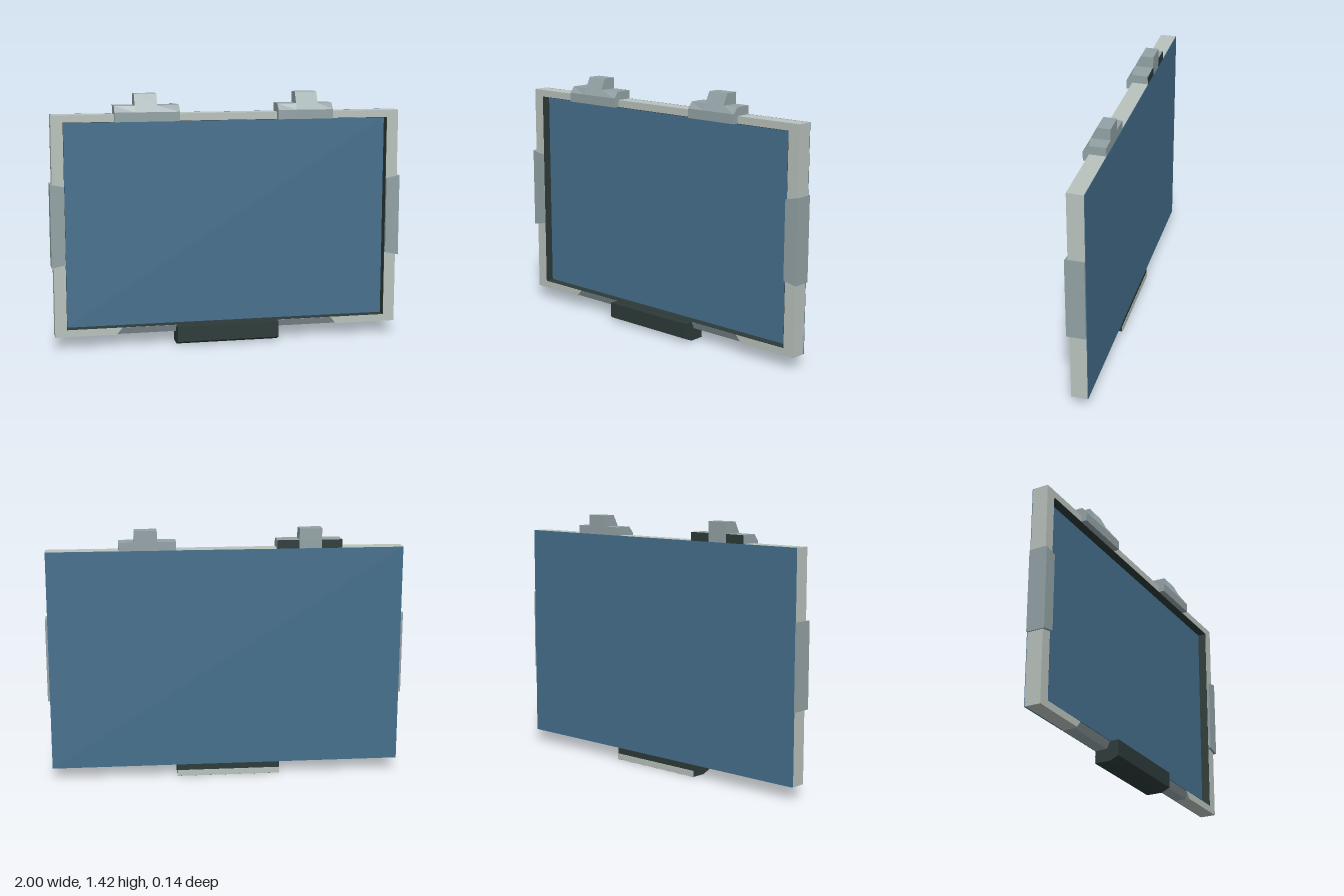
import * as THREE from 'three';

const mat = (name, color) => {
  const m = new THREE.MeshStandardMaterial({ color });
  m.name = name;
  return m;
};

// Solid through cross-sections along +x: [x, [[z, y], ...]], convex,
// listed front-bottom, back-bottom, back-top, front-top.
function loft(sections) {
  const pos = [];
  const rings = sections.map(([x, p]) => p.map(([z, y]) => [x, y, z]));
  const tri = (...pts) => pts.forEach((p) => pos.push(...p));
  const n = rings[0].length;
  for (let s = 0; s + 1 < rings.length; s++) {
    for (let i = 0; i < n; i++) {
      const j = (i + 1) % n;
      tri(rings[s][i], rings[s][j], rings[s + 1][j]);
      tri(rings[s][i], rings[s + 1][j], rings[s + 1][i]);
    }
  }
  const a = rings[0], b = rings[rings.length - 1];
  for (let i = 1; i + 1 < n; i++) {
    tri(a[0], a[i + 1], a[i]);
    tri(b[0], b[i], b[i + 1]);
  }
  const g = new THREE.BufferGeometry();
  g.setAttribute('position', new THREE.Float32BufferAttribute(pos, 3));
  g.computeVertexNormals();
  return g;
}

const prism = (x0, x1, profile) => loft([[x0, profile], [x1, profile]]);

function box(x0, x1, y0, y1, z0, z1) {
  return new THREE.BoxGeometry(x1 - x0, y1 - y0, z1 - z0)
    .translate((x0 + x1) / 2, (y0 + y1) / 2, (z0 + z1) / 2);
}

const polygon = (pts) => pts.map(([x, y]) => new THREE.Vector2(x, y));

export function createModel() {
  const model = new THREE.Group();
  model.name = 'wallScreen';
  const frameMat = mat('pale grey', 0xb9c2bd);
  const clipMat = mat('blue grey', 0x93a2a5);
  const darkMat = mat('dark green grey', 0x2c3a39);
  const blueMat = mat('screen blue', 0x456f8c);

  const add = (name, geometry, material, parent = model) => {
    const m = new THREE.Mesh(geometry, material);
    m.name = name;
    parent.add(m);
    return m;
  };

  const W = 0.988, B = 0.07, T = 1.308;      // frame outline
  const w = 0.922, b = 0.11, t = 1.268;      // opening
  const back = -0.07, front = 0.02;

  // Frame: closed ring behind, with a front layer open along the lower middle
  const ring = new THREE.Shape(polygon([[-W, B], [W, B], [W, T], [-W, T]]));
  ring.holes.push(new THREE.Path(polygon([[-w, b], [-w, t], [w, t], [w, b]])));
  add('frameBack', new THREE.ExtrudeGeometry(ring, { depth: -back, bevelEnabled: false })
    .translate(0, 0, back), frameMat);
  const face = new THREE.Shape(polygon([
    [-W, B], [-0.645, B], [-0.61, b], [-w, b], [-w, t], [w, t],
    [w, b], [0.6, b], [0.635, B], [W, B], [W, T], [-W, T],
  ]));
  add('frameFront', new THREE.ExtrudeGeometry(face, { depth: front, bevelEnabled: false }), frameMat);

  // Sloping sill in the lower middle of the frame
  add('lowerSill', prism(-0.64, 0.63,
    [[0, B - 0.001], [back, B - 0.001], [back, b - 0.001], [front - 0.001, b - 0.001]]), clipMat);

  // Screen and back panel
  add('screen', box(-w, w, b, t, -0.036, -0.03), blueMat);
  add('backPanel', box(-W, W, B, T, -0.073, -0.066), blueMat);

  // Dark lining inside the opening
  const e = 0.002, z0 = -0.04, z1 = 0.019;
  for (const s of [-1, 1]) {
    const x = s * (w - e / 2);
    add('sideLining', box(x - e / 2, x + e / 2, b, t, z0, z1), darkMat);
  }
  add('lowerLining', box(-w, w, b, b + e, z0, z1), darkMat);
  add('upperLining', box(-w, w, t - e, t, z0, z1), darkMat);

  // Side clips, slightly taller on the outside
  const clipSection = (y0, y1) => [[0.035, y0], [back, y0], [back, y1], [0.035, y1]];
  const outer = clipSection(0.467, 0.932), inner = clipSection(0.483, 0.916);
  add('leftClip', loft([[w, inner], [1, outer]]), clipMat);
  add('rightClip', loft([[-1, outer], [-w, inner]]), clipMat);

  // Top clips with a raised block
  const bodySection = (zTop) =>
    [[0.053, t], [back, t], [back, 1.355], [zTop, 1.355], [0.053, 1.32]];
  const bump = [[0.035, 1.35], [back, 1.35], [back, 1.418], [0.003, 1.418], [0.035, 1.355]];
  const topClip = (name, x0, x1, x2, x3) => {
    const g = new THREE.Group();
    g.name = name;
    model.add(g);
    add('clipBody', loft([
      [x0, bodySection(0.023)], [x1, bodySection(0.035)],
      [x2, bodySection(0.035)], [x3, bodySection(0.023)],
    ]), clipMat, g);
    add('clipBlock', prism(x1, x2, bump), clipMat, g);
    return g;
  };
  topClip('topLeftClip', 0.275, 0.38, 0.505, 0.59);
  const rightClip = topClip('topRightClip', -0.643, -0.53, -0.405, -0.282);

  // Dark backs on the shoulders of the wider clip
  for (const [x0, x1] of [[-0.643, -0.53], [-0.405, -0.282]]) {
    add('clipBackPlate', box(x0, x1, 1.3, 1.355, back - 0.002, back + 0.002), darkMat, rightClip);
  }

  // Bottom latch with a pale strip along its back
  add('bottomLatch', prism(-0.305, 0.28, [
    [0.07, 0.022], [0.02, 0], [back, 0], [back, b], [0.07, b],
  ]), darkMat);
  add('latchBackStrip', box(-0.305, 0.28, 0.001, 0.035, back - 0.002, back + 0.002), frameMat);

  return model;
}
